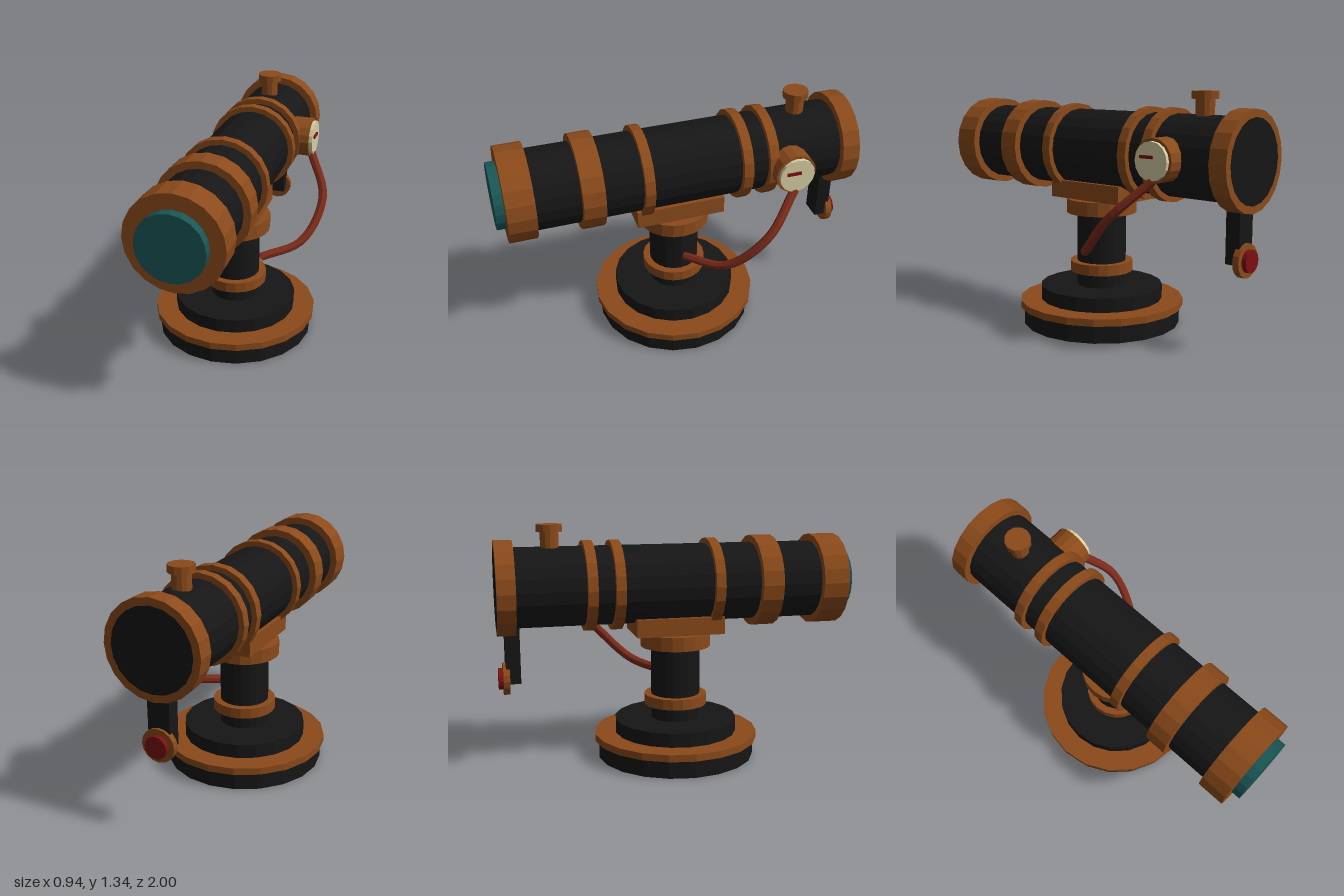
import * as THREE from 'three';

const paint = (color) => new THREE.MeshStandardMaterial({ color, flatShading: true });

export function createModel() {
  const model = new THREE.Group();
  const brass = paint(0x8b4a1a);
  const black = paint(0x161616);
  const teal = paint(0x1a5555);
  const red = paint(0x7d1010);
  const cream = paint(0xd8cfa4);
  const rubber = paint(0x7a2a1a);

  const add = (name, geometry, material) => {
    const mesh = new THREE.Mesh(geometry, material);
    mesh.name = name;
    model.add(mesh);
    return mesh;
  };

  // Upright disc between two heights
  const upright = (name, r, y0, y1, material, z = 0, sides = 20) =>
    add(name, new THREE.CylinderGeometry(r, r, y1 - y0, sides), material)
      .position.set(0, (y0 + y1) / 2, z);

  // Disc lying along z, on the barrel axis unless another height is given
  const along = (name, r, z0, z1, material, y = 1, sides = 20) =>
    add(name, new THREE.CylinderGeometry(r, r, z1 - z0, sides).rotateX(Math.PI / 2), material)
      .position.set(0, y, (z0 + z1) / 2);

  // Disc facing sideways, for the gauge
  const sideways = (name, r, x0, x1, material) =>
    add(name, new THREE.CylinderGeometry(r, r, x1 - x0, 16).rotateZ(-Math.PI / 2), material)
      .position.set((x0 + x1) / 2, 1, -0.6);

  const box = (name, size, position, material) =>
    add(name, new THREE.BoxGeometry(...size), material).position.set(...position);

  // Stepped base and column
  upright('baseFoot', 0.45, 0, 0.1, black);
  upright('baseRim', 0.47, 0.1, 0.14, brass);
  upright('baseStep', 0.35, 0.14, 0.22, black);
  upright('column', 0.14, 0.22, 0.64, black);
  upright('columnRing', 0.18, 0.3, 0.36, brass);
  upright('columnCollar', 0.2, 0.64, 0.72, brass);
  box('cradle', [0.3, 0.1, 0.5], [0, 0.77, 0], brass);

  // Barrel with end caps, bands and lens
  along('barrel', 0.22, -1, 0.9, black);
  along('rearCap', 0.26, -0.999, -0.9, brass);
  along('frontCap', 0.26, 0.8, 0.95, brass);
  along('lens', 0.18, 0.9, 1, teal);
  along('wideBand', 0.26, 0.44, 0.56, brass);
  for (const z of [0.2, -0.35, -0.5]) along('narrowBand', 0.25, z - 0.027, z + 0.027, brass);

  // Knob on top
  upright('knobStem', 0.05, 1.18, 1.3, brass, -0.7, 12);
  upright('knobCap', 0.07, 1.3, 1.34, brass, -0.7, 12);

  // Gauge on the left side
  sideways('gaugeHousing', 0.115, 0.18, 0.3, brass);
  sideways('gaugeFace', 0.1, 0.3, 0.32, cream);
  box('gaugeNeedle', [0.02, 0.016, 0.08], [0.32, 1.021, -0.577], red);

  // Hose from the gauge down to the column
  const path = new THREE.CatmullRomCurve3([
    new THREE.Vector3(0.3, 0.9, -0.6),
    new THREE.Vector3(0.42, 0.7, -0.41),
    new THREE.Vector3(0.35, 0.5, -0.2),
    new THREE.Vector3(0.15, 0.45, -0.02),
  ]);
  rubber.side = THREE.DoubleSide;
  add('hose', new THREE.TubeGeometry(path, 20, 0.025, 8), rubber);

  // Grip with trigger button
  box('grip', [0.12, 0.36, 0.08], [0, 0.66, -0.92], black);
  along('buttonRing', 0.09, -0.975, -0.94, brass, 0.5, 16);
  along('button', 0.06, -1, -0.96, red, 0.5, 16);

  return model;
}
